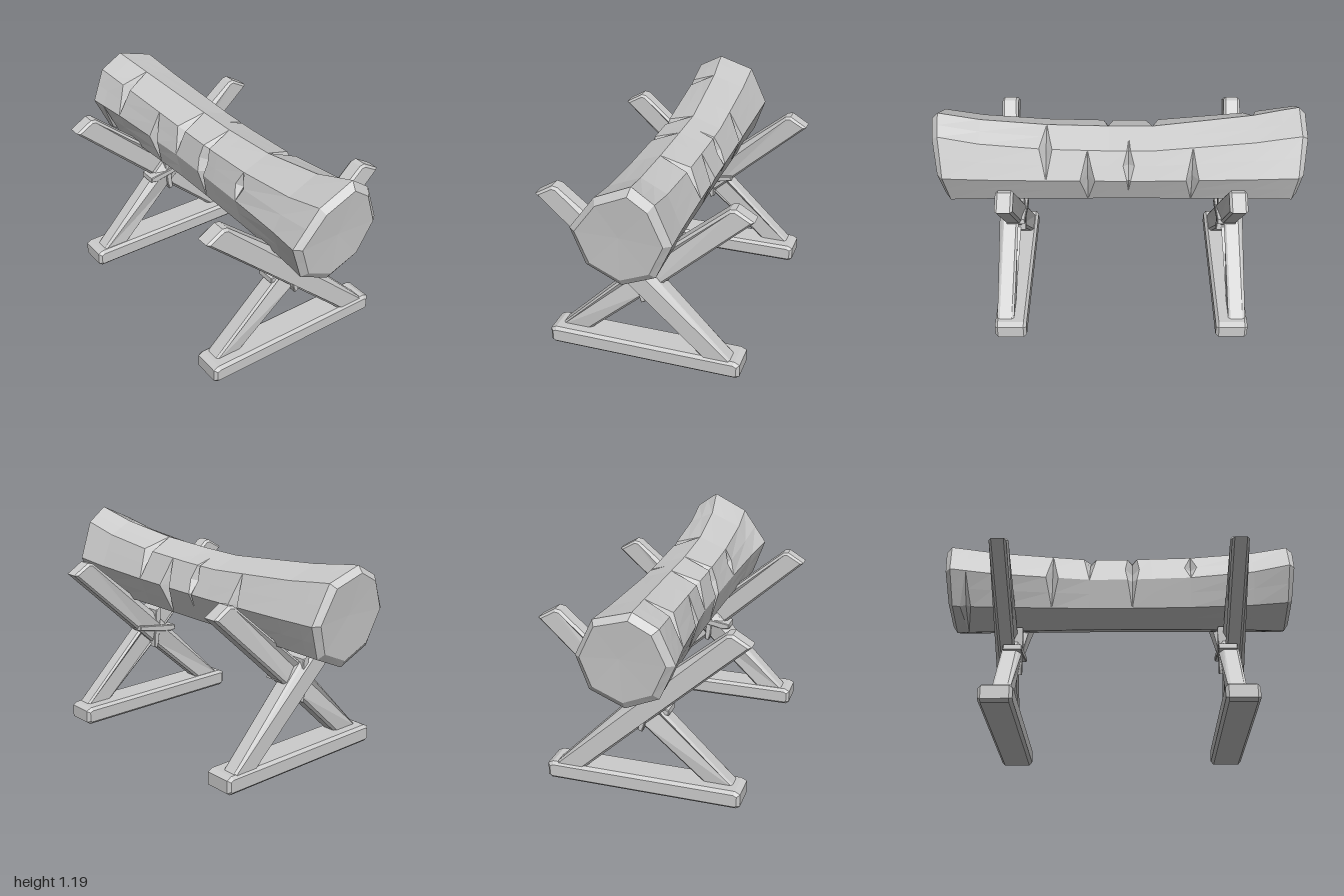
import * as THREE from 'three';

const material = new THREE.MeshStandardMaterial({ color: 0xcccccc, flatShading: true });

function addMesh(parent, geometry, name) {
  const mesh = new THREE.Mesh(geometry, material);
  mesh.name = name;
  parent.add(mesh);
  return mesh;
}

// Bevelled slab: outline given as [z, y], thickness along x, centred on x = 0
function slab(outline, width, bevel) {
  const shape = new THREE.Shape(outline.map(([z, y]) => new THREE.Vector2(z, y)));
  const g = new THREE.ExtrudeGeometry(shape, {
    depth: width - 2 * bevel, bevelEnabled: true, bevelSegments: 1,
    bevelSize: bevel, bevelThickness: bevel, bevelOffset: -bevel,
  });
  g.translate(0, 0, bevel - width / 2);
  g.rotateY(-Math.PI / 2);
  return g;
}

// Octagonal log sections as [z, y], from the top round through the front
const LEFT = [[0.07, 1.14], [0.2, 1.07], [0.275, 0.89], [0.19, 0.7], [0.01, 0.62], [-0.17, 0.7], [-0.23, 0.88], [-0.13, 1.08]];
const MID = [[0, 1.065], [0.15, 1.01], [0.19, 0.86], [0.15, 0.7], [0, 0.64], [-0.16, 0.7], [-0.225, 0.86], [-0.16, 1.01]];
const RIGHT = [[-0.07, 1.19], [0.12, 1.1], [0.26, 0.91], [0.19, 0.71], [0.01, 0.62], [-0.17, 0.7], [-0.26, 0.9], [-0.18, 1.11]];
// How far the section moves from MID towards LEFT (negative) or RIGHT (positive)
const BLEND = [[-0.95, -1], [-0.7, -0.55], [-0.17, 0], [0.05, 0], [0.4, 0.12], [0.75, 0.5], [0.95, 1]];
// Axe cuts: x, half width, then [centre index, span, depth] for each cut
const CUTS = [
  [-0.86, 0.03, [[6, 2, 0.1]]],
  [-0.71, 0.035, [[2, 2, 0.26]]],
  [-0.38, 0.035, [[4, 2, 0.22], [12, 2, 0.22]]],
  [-0.17, 0.035, [[2, 2, 0.22]]],
  [-0.04, 0.03, [[13, 1.5, 0.15]]],
  [0.07, 0.04, [[3, 3, 0.26]]],
  [0.18, 0.04, [[12, 2, 0.24]]],
  [0.4, 0.035, [[3, 1, 0.16], [14, 2, 0.24]]],
];
const N = 16;

function blendAt(x) {
  if (x <= BLEND[0][0]) return -1;
  for (let i = 1; i < BLEND.length; i++) {
    const [x0, b0] = BLEND[i - 1], [x1, b1] = BLEND[i];
    if (x <= x1) return b0 + (b1 - b0) * (x - x0) / (x1 - x0);
  }
  return 1;
}

// Section of 16 points: the octagon corners and the middles of its sides
function section(x) {
  const b = blendAt(x), end = b < 0 ? LEFT : RIGHT;
  const corner = (k) => [0, 1].map((c) => MID[k % 8][c] + (end[k % 8][c] - MID[k % 8][c]) * Math.abs(b));
  return Array.from({ length: N }, (_, j) => {
    const p = corner(j >> 1), q = corner((j >> 1) + (j & 1));
    return new THREE.Vector3(x, (p[1] + q[1]) / 2, (p[0] + q[0]) / 2);
  });
}

function logGeometry() {
  const centre = (x) => new THREE.Vector3(x, 0.88, 0);
  // Slightly slanted end rim and its inset cap edge
  const rim = (s) => section(s * 0.95).map((p) => p.setX(s * (0.945 + 0.07 * (p.y - 0.9))));
  const cap = (s) => section(s * 0.95).map((p) => {
    p.lerp(new THREE.Vector3(p.x, 0.91, 0), 0.14);
    return p.setX(s * (0.975 + 0.1 * (p.y - 0.9)));
  });
  const rings = [cap(-1), rim(-1)];
  for (const [x, w, cuts] of CUTS) {
    for (const side of [-1, 0, 1]) {
      const ring = section(x);
      ring.forEach((p, j) => {
        let reach = 0.06, pull = 0;
        for (const [c, span, depth] of cuts) {
          const d = Math.min(Math.abs(j - c), N - Math.abs(j - c));
          const f = Math.max(0, 1 - d / span);
          reach = Math.max(reach, f);
          pull = Math.max(pull, f * depth);
        }
        if (side === 0) p.lerp(centre(x), pull);
        else p.copy(section(x + side * w * reach)[j]);
      });
      rings.push(ring);
    }
  }
  rings.push(section(0.75), rim(1), cap(1));

  const pos = [];
  const tri = (...pts) => pts.forEach((p) => pos.push(p.x, p.y, p.z));
  const first = rings[0], last = rings[rings.length - 1];
  const c0 = new THREE.Vector3(-0.97, 0.9, 0), c1 = new THREE.Vector3(0.97, 0.91, 0);
  for (let j = 0; j < N; j++) {
    const k = (j + 1) % N;
    for (let i = 0; i < rings.length - 1; i++) {
      const a = rings[i][j], b = rings[i][k], c = rings[i + 1][k], d = rings[i + 1][j];
      tri(a, b, d);
      tri(b, c, d);
    }
    tri(c0, first[k], first[j]);
    tri(c1, last[j], last[k]);
  }
  const g = new THREE.BufferGeometry();
  g.setAttribute('position', new THREE.Float32BufferAttribute(pos, 3));
  g.computeVertexNormals();
  return g;
}

// Crossed beam; dir flips it front to back, bend moves its middle sideways
function beamGeometry(dir, bend) {
  const outline = [[0.57, 0.908], [0.475, 0.965], [0.445, 0.96], [0, 0.585], [-0.5, 0.08], [-0.335, 0.08], [0, 0.385]];
  const g = slab(outline.map(([z, y]) => [z * dir, y]), 0.093, 0.013);
  const p = g.attributes.position;
  for (let i = 0; i < p.count; i++) {
    if (Math.abs(p.getZ(i)) < 0.1) p.setX(i, p.getX(i) + bend);
  }
  g.computeVertexNormals();
  return g;
}

function createTrestle(side) {
  const trestle = new THREE.Group();
  trestle.name = side > 0 ? 'leftTrestle' : 'rightTrestle';
  trestle.position.x = side * 0.615;

  const foot = slab([[-0.535, 0.015], [-0.515, 0], [0.515, 0], [0.535, 0.015],
    [0.535, 0.085], [0.505, 0.1], [-0.505, 0.1], [-0.535, 0.085]], 0.175, 0.016);
  addMesh(trestle, foot, 'footBeam');

  addMesh(trestle, beamGeometry(1, -0.02 * side), 'outerBeam').position.x = side * 0.03;
  addMesh(trestle, beamGeometry(-1, 0.02 * side), 'innerBeam').position.x = side * -0.022;

  // Lashings round the crossing
  const upright = slab([[0.043, 0.635], [0, 0.6], [-0.018, 0.37], [0.005, 0.36], [0.018, 0.4]], 0.135, 0.004);
  addMesh(trestle, upright, 'uprightLashing').position.x = side * 0.002;
  const level = slab([[0.14, 0.458], [0.138, 0.486], [-0.125, 0.525], [-0.13, 0.497], [0.1, 0.452]], 0.105, 0.004);
  addMesh(trestle, level, 'levelLashing').position.x = side * -0.022;
  return trestle;
}

export function createModel() {
  const model = new THREE.Group();
  model.name = 'logOnTrestles';
  addMesh(model, logGeometry(), 'log');
  for (const side of [-1, 1]) model.add(createTrestle(side));
  return model;
}
